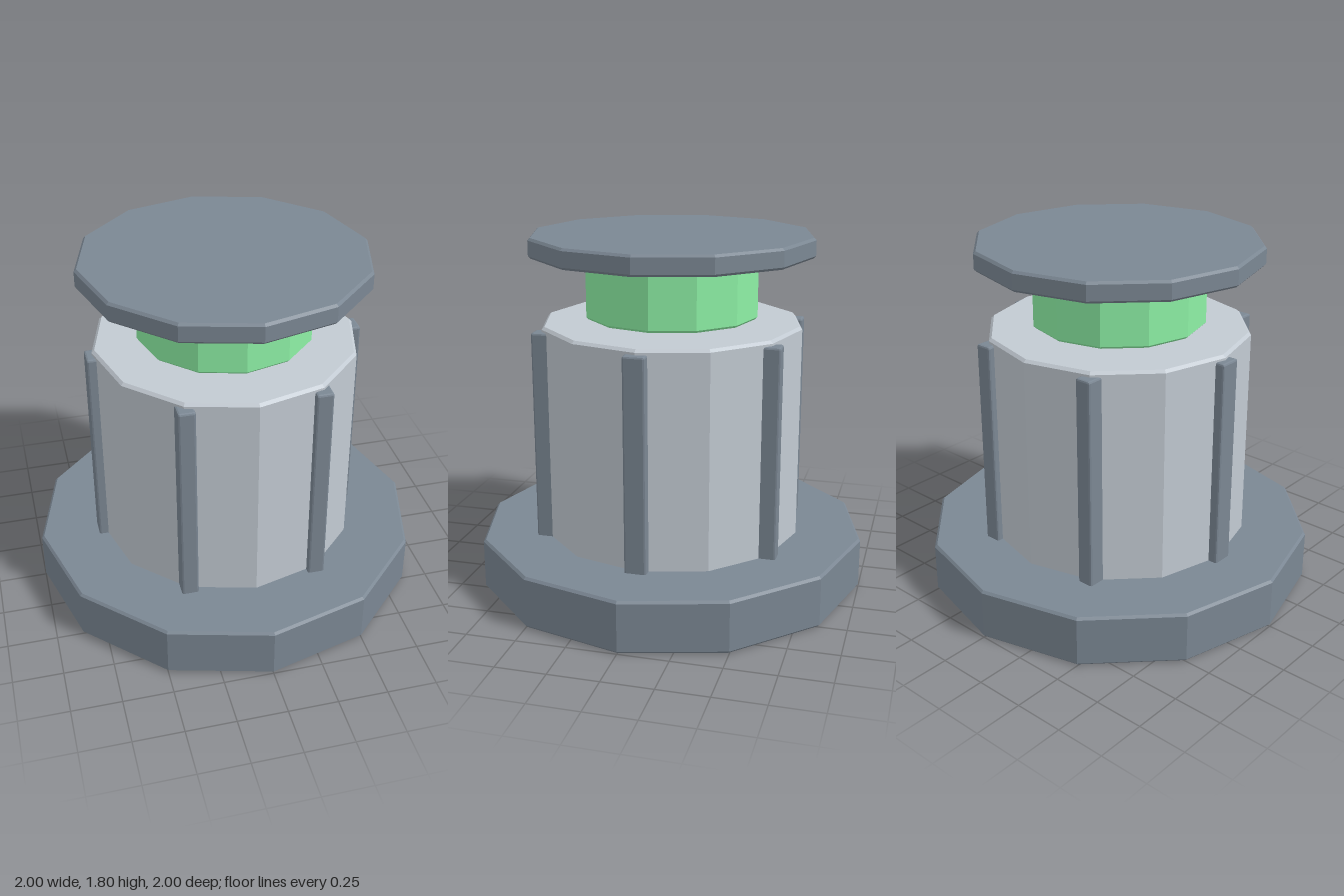
import * as THREE from 'three';
import { RoundedBoxGeometry } from 'three/addons/geometries/RoundedBoxGeometry.js';

const material = (color) => new THREE.MeshStandardMaterial({ color, flatShading: true });

export function createModel() {
  const model = new THREE.Group();
  const dark = material(0x7b8793);
  const pale = material(0xc2cad2);
  const green = material(0x8df0a5);

  // Closed twelve-sided drum with chamfered rims, from y0 to y1
  function drum(name, radius, y0, y1, mat, chamfer = 0.012) {
    const c = chamfer;
    const profile = [
      [0, y0], [radius - c, y0], [radius, y0 + c],
      [radius, y1 - c], [radius - c, y1], [0, y1],
    ].map(([x, y]) => new THREE.Vector2(x, y));
    const mesh = new THREE.Mesh(new THREE.LatheGeometry(profile, 12), mat);
    mesh.name = name;
    model.add(mesh);
  }

  // Stacked drums, with narrow gaps around the coloured core
  drum('base', 1, 0, 0.265, dark);
  drum('body', 0.665, 0.25, 1.36, pale, 0.014);
  drum('core', 0.44, 1.385, 1.68, green);
  drum('cap', 0.72, 1.7, 1.8, dark);

  // Six upright ribs, all aligned to the axes, on every second corner of the body
  const ribs = new THREE.Group();
  ribs.name = 'ribs';
  const ribGeometry = new RoundedBoxGeometry(0.085, 1.085, 0.11, 1, 0.01);
  for (let i = 0; i < 6; i++) {
    const angle = (i * Math.PI) / 3;
    const rib = new THREE.Mesh(ribGeometry, dark);
    rib.name = 'rib';
    rib.position.set(0.655 * Math.cos(angle), 0.7925, 0.655 * Math.sin(angle));
    ribs.add(rib);
  }
  model.add(ribs);

  return model;
}
